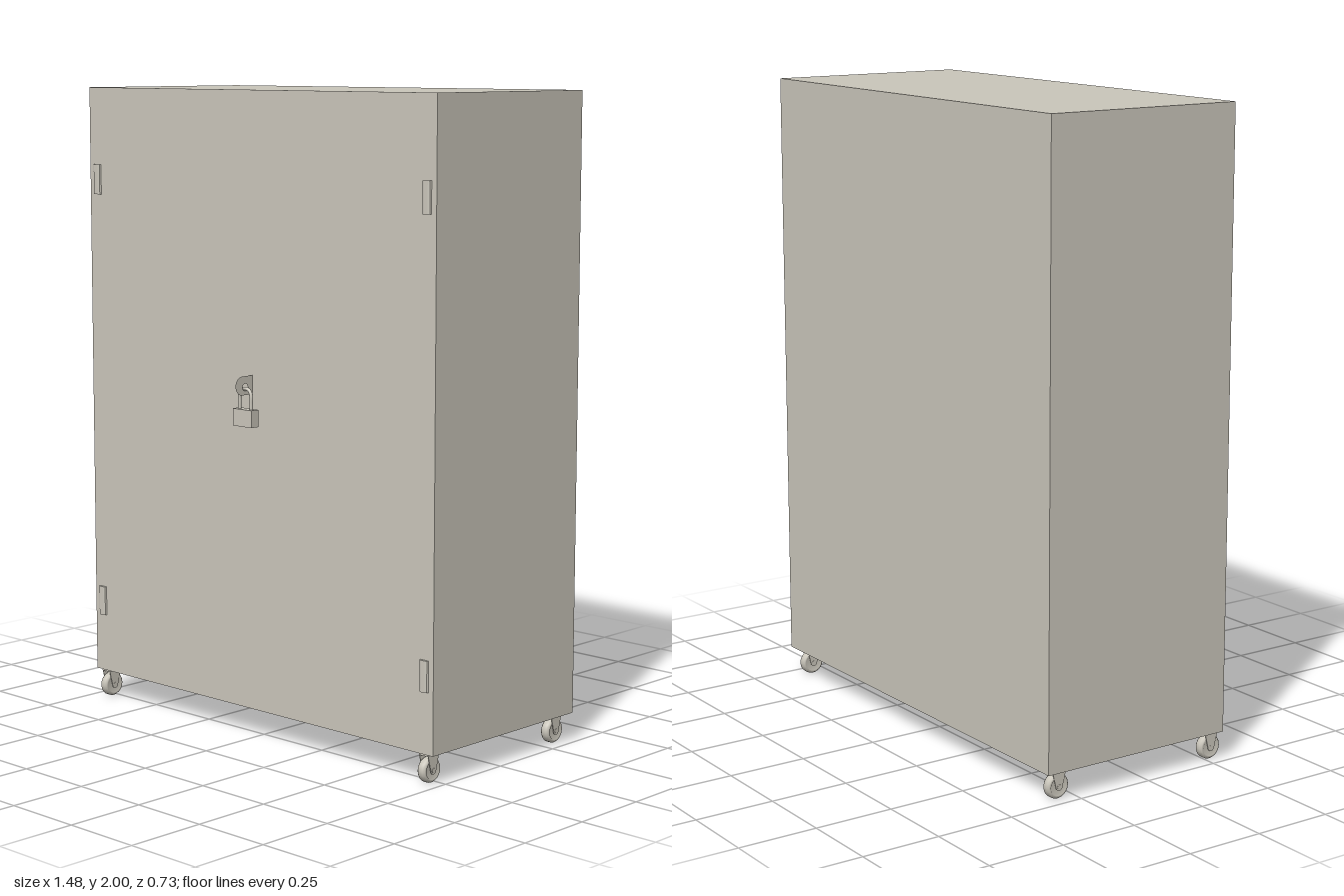
import * as THREE from 'three';

export function createModel() {
  const root = new THREE.Group();
  const paint = new THREE.MeshStandardMaterial({ color: 0xcac6bb });
  paint.name = 'warm grey metal';
  paint.side = THREE.DoubleSide;

  const add = (parent, name, geometry, x = 0, y = 0, z = 0) => {
    const mesh = new THREE.Mesh(geometry, paint);
    mesh.name = name;
    mesh.position.set(x, y, z);
    parent.add(mesh);
    return mesh;
  };

  // Cabinet body
  add(root, 'cabinet', new THREE.BoxGeometry(1.478, 1.91, 0.656), 0, 1.045, -0.033);

  // Hinges: shallow bevelled strips near the corners of the front
  const hingeShape = new THREE.Shape([
    [-0.016, 0], [0.016, 0], [0.014, 0.005], [0.008, 0.008], [-0.008, 0.008], [-0.014, 0.005],
  ].map(([x, z]) => new THREE.Vector2(x, -z)));
  const hingeGeo = new THREE.ExtrudeGeometry(hingeShape, { depth: 0.095, bevelEnabled: false });
  hingeGeo.rotateX(-Math.PI / 2);
  for (const x of [-0.704, 0.704]) {
    for (const y of [0.277, 1.66]) add(root, 'hinge', hingeGeo, x, y, 0.295);
  }

  // Casters: rounded wheel, axle, fork cheeks and mounting plate
  const wheelProfile = [
    [0.006, -0.012], [0.026, -0.012], [0.028, -0.015], [0.034, -0.014], [0.0385, -0.008],
    [0.0385, 0.008], [0.034, 0.014], [0.028, 0.015], [0.026, 0.012], [0.006, 0.012],
  ].map(([r, h]) => new THREE.Vector2(r, h));
  const wheelGeo = new THREE.LatheGeometry(wheelProfile, 20).rotateZ(Math.PI / 2);
  const axleGeo = new THREE.CylinderGeometry(0.007, 0.007, 0.038, 12).rotateZ(Math.PI / 2);
  const cheekShape = new THREE.Shape();
  cheekShape.moveTo(-0.024, 0.048);
  cheekShape.lineTo(-0.012, 0);
  cheekShape.absarc(0, 0, 0.012, Math.PI, Math.PI * 2, false);
  cheekShape.lineTo(0.024, 0.048);
  const cheekGeo = new THREE.ExtrudeGeometry(cheekShape, { depth: 0.002, bevelEnabled: false, curveSegments: 6 });
  cheekGeo.translate(0, 0, -0.001).rotateY(Math.PI / 2);
  for (const x of [-0.7, 0.7]) {
    for (const z of [0.267, -0.307]) {
      const caster = new THREE.Group();
      caster.name = 'caster';
      caster.position.set(x, 0.0385, z);
      add(caster, 'wheel', wheelGeo);
      add(caster, 'axle', axleGeo);
      for (const side of [-1, 1]) add(caster, 'forkCheek', cheekGeo, side * 0.017);
      add(caster, 'mountingPlate', new THREE.BoxGeometry(0.036, 0.006, 0.048), 0, 0.0485, 0);
      root.add(caster);
    }
  }

  // Hasp: thin tab standing out from the door, with a round hole
  const haspShape = new THREE.Shape();
  haspShape.moveTo(0.294, 1.08);
  haspShape.lineTo(0.338, 1.08);
  haspShape.absarc(0.338, 1.109, 0.029, -Math.PI / 2, Math.PI / 2, false);
  haspShape.lineTo(0.318, 1.138);
  haspShape.lineTo(0.294, 1.138);
  const hole = new THREE.Path();
  hole.absarc(0.326, 1.104, 0.011, 0, Math.PI * 2, true);
  haspShape.holes.push(hole);
  add(root, 'hasp', new THREE.ShapeGeometry(haspShape, 12).rotateY(-Math.PI / 2));

  // Padlock: block body with a bent round shackle
  const lock = new THREE.Group();
  lock.name = 'padlock';
  lock.position.z = 0.325;
  add(lock, 'lockBody', new THREE.BoxGeometry(0.08, 0.053, 0.03), 0, 1.0105, 0);
  const arch = new THREE.CurvePath();
  const v = (x, y) => new THREE.Vector3(x, y, 0);
  const curve = new THREE.CatmullRomCurve3([
    v(-0.025, 1.03), v(-0.025, 1.055), v(-0.025, 1.078), v(-0.018, 1.094), v(0, 1.1),
    v(0.018, 1.094), v(0.025, 1.078), v(0.025, 1.055), v(0.025, 1.03),
  ]);
  add(lock, 'shackle', new THREE.TubeGeometry(curve, 32, 0.0055, 10));
  root.add(lock);

  return root;
}
